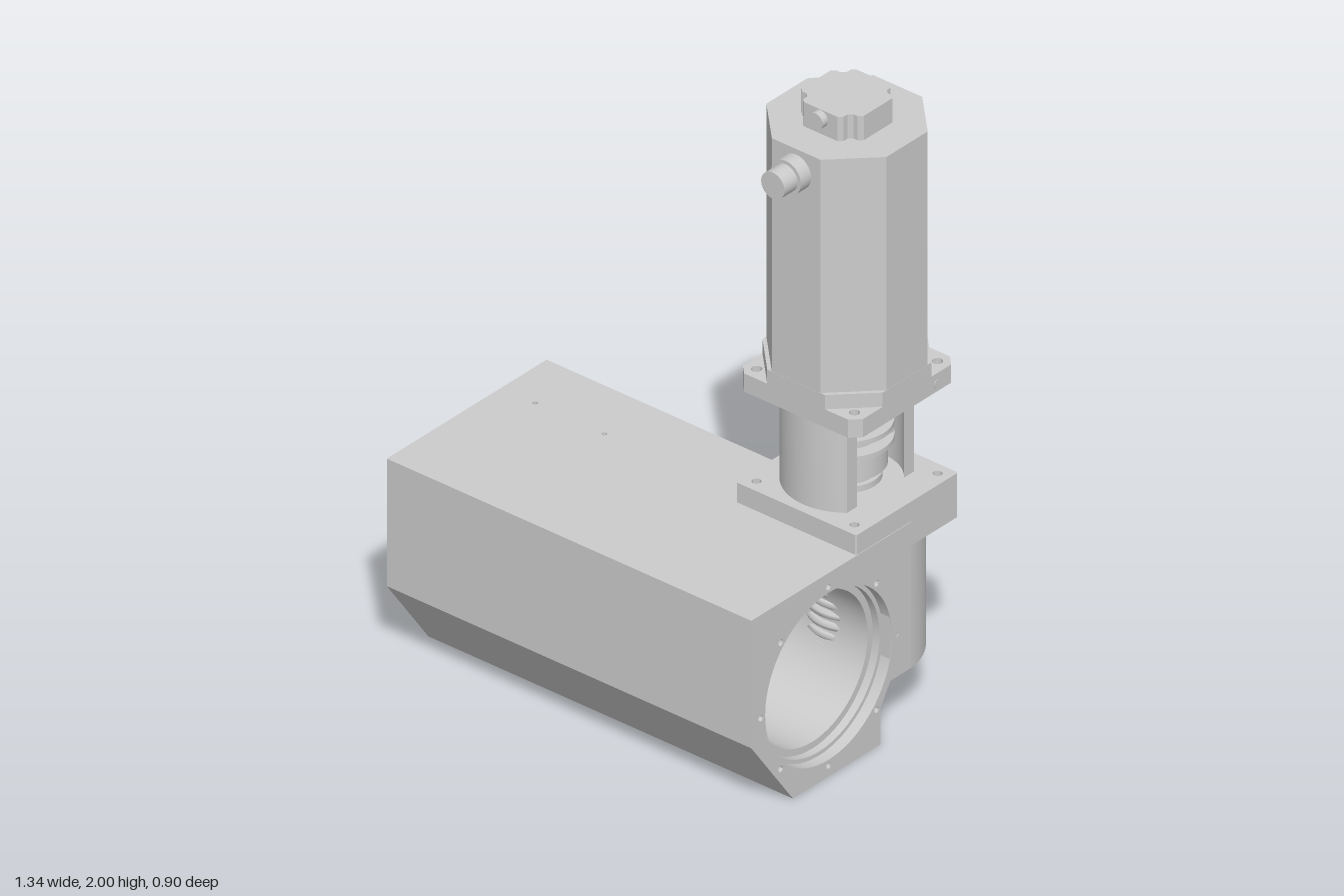
import * as THREE from 'three';
import { toCreasedNormals } from 'three/addons/utils/BufferGeometryUtils.js';

const mat = new THREE.MeshStandardMaterial({ color: 0xcccccc, side: THREE.DoubleSide });

function add(parent, name, geo) {
  const m = new THREE.Mesh(geo, mat);
  m.name = name;
  parent.add(m);
  return m;
}
const poly = (pts) => new THREE.Shape(pts.map(([x, y]) => new THREE.Vector2(x, y)));
function hole(shape, x, y, r) {
  shape.holes.push(new THREE.Path().absarc(x, y, r, 0, Math.PI * 2, true));
  return shape;
}
const extrude = (shape, depth) => toCreasedNormals(
  new THREE.ExtrudeGeometry(shape, { depth, bevelEnabled: false, curveSegments: 32 }), 0.5);
// Shape given as (x, -z), raised from y0 to y1
const raise = (shape, y0, y1) => extrude(shape, y1 - y0).rotateX(-Math.PI / 2).translate(0, y0, 0);
// Shape given as (-z, y), run from x0 to x1
const run = (shape, x0, x1) => extrude(shape, x1 - x0).rotateY(Math.PI / 2).translate(x0, 0, 0);
// Square of half size h with corners cut by c
const octagon = (h, c) => poly([[h, c - h], [h, h - c], [h - c, h], [c - h, h],
  [-h, h - c], [-h, c - h], [c - h, -h], [h - c, -h]]);
function cornerHoles(shape, d, r) {
  for (const x of [-d, d]) for (const y of [-d, d]) hole(shape, x, y, r);
  return shape;
}
const cyl = (r, y0, y1) => new THREE.CylinderGeometry(r, r, y1 - y0, 48).translate(0, (y0 + y1) / 2, 0);
const cylZ = (r, z0, z1, y) => new THREE.CylinderGeometry(r, r, z1 - z0, 32)
  .rotateX(Math.PI / 2).translate(0, y, (z0 + z1) / 2);

const BORE_Z = 0.115, BORE_Y = 0.33;

function buildHousing() {
  const g = new THREE.Group();
  g.name = 'gearHousing';
  const profile = () => poly([[-0.45, 0.25], [-0.27, 0], [0.11, 0], [0.11, 0.12],
    [0.16, 0.2], [0.22, 0.2], [0.22, 0.65], [-0.45, 0.65]]);

  // Slices along the bore: small outlet, main bore, counterbore with bolt circle
  const slices = [[-0.67, -0.59, 0.187], [-0.59, 0.61, 0.24], [0.61, 0.635, 0.262], [0.635, 0.67, 0.275]];
  slices.forEach(([x0, x1, r], i) => {
    const s = hole(profile(), -BORE_Z, BORE_Y, r);
    if (i === 3) {
      for (let k = 0; k < 8; k++) {
        const a = k * Math.PI / 4;
        hole(s, -BORE_Z + 0.294 * Math.cos(a), BORE_Y + 0.294 * Math.sin(a), 0.01);
      }
    }
    add(g, 'housingSlice', run(s, x0, x1));
  });

  // Top plate with two pin holes
  const top = poly([[-0.67, -0.45], [0.67, -0.45], [0.67, 0.243], [-0.67, 0.243]]);
  for (const x of [-0.545, -0.29]) hole(top, x, 0.045, 0.008);
  add(g, 'topPlate', raise(top, 0.65, 0.67));

  // Back plate with rounded window and six screw holes
  const back = poly([[-0.67, 0.2], [0.67, 0.2], [0.67, 0.65], [-0.67, 0.65]]);
  const [l, r, b, t, c] = [-0.5, 0.05, 0.275, 0.495, 0.03];
  const win = new THREE.Path();
  win.absarc(r - c, t - c, c, 0, Math.PI / 2);
  win.absarc(l + c, t - c, c, Math.PI / 2, Math.PI);
  win.absarc(l + c, b + c, c, Math.PI, Math.PI * 1.5);
  win.absarc(r - c, b + c, c, Math.PI * 1.5, Math.PI * 2);
  win.closePath();
  back.holes.push(win);
  for (const x of [-0.61, -0.225, 0.16]) for (const y of [0.24, 0.58]) hole(back, x, y, 0.02);
  add(g, 'backPlate', extrude(back, 0.023).translate(0, 0, -0.243));
  return g;
}

function buildWormDrive() {
  const g = new THREE.Group();
  g.name = 'wormDrive';
  // Round-backed worm casing with bearing opening beneath
  const d = new THREE.Shape();
  d.moveTo(0.221, -0.077);
  d.lineTo(0.221, 0);
  d.absarc(0, 0, 0.221, 0, Math.PI);
  d.lineTo(-0.221, -0.077);
  d.closePath();
  add(g, 'wormCasing', raise(hole(d, 0, 0, 0.065), 0.187, 0.59));
  add(g, 'bearingCap', cyl(0.064, 0.198, 0.23));
  add(g, 'bearingRing', new THREE.TorusGeometry(0.05, 0.008, 8, 32).rotateX(Math.PI / 2).translate(0, 0.196, 0));
  add(g, 'wormEnd', cyl(0.03, 0.19, 0.22));

  // Worm that meets the bore
  add(g, 'wormCore', cyl(0.106, 0.23, 0.46));
  const pts = [];
  for (let i = 0; i <= 120; i++) {
    const a = i / 120 * Math.PI * 12;
    pts.push(new THREE.Vector3(0.108 * Math.cos(a), 0.23 + 0.21 * i / 120, 0.108 * Math.sin(a)));
  }
  add(g, 'wormThread', new THREE.TubeGeometry(new THREE.CatmullRomCurve3(pts), 360, 0.014, 6));

  add(g, 'casingFlange', raise(cornerHoles(octagon(0.221, 0.004), 0.18, 0.014), 0.59, 0.735));
  return g;
}

function buildCoupling() {
  const g = new THREE.Group();
  g.name = 'coupling';
  // Tubular shell cut open on the left side
  const cut = 0.123, ro = 0.19, ri = 0.16;
  const a = Math.acos(cut / ro), b = Math.acos(cut / ri);
  const s = new THREE.Shape();
  s.absarc(0, 0, ro, a, Math.PI * 2 - a);
  s.absarc(0, 0, ri, Math.PI * 2 - b, b, true);
  s.closePath();
  add(g, 'couplingShell', raise(s, 0.735, 1.045));

  // Stacked hubs and discs on the shaft: [radius, y0, y1]
  const stack = [[0.05, 0.6, 1.05], [0.1, 0.745, 0.765], [0.085, 0.765, 0.785], [0.115, 0.79, 0.855],
    [0.133, 0.867, 0.883], [0.09, 0.855, 0.945], [0.133, 0.917, 0.933], [0.115, 0.945, 0.995],
    [0.085, 1.0, 1.02], [0.1, 1.02, 1.044]];
  for (const [r, y0, y1] of stack) add(g, 'couplingDisc', cyl(r, y0, y1));
  // Clamping bolts through the discs
  for (let k = 0; k < 4; k++) {
    const t = k * Math.PI / 2 + Math.PI / 4;
    add(g, 'couplingBolt', cyl(0.016, 0.84, 0.96).translate(0.115 * Math.cos(t), 0, 0.115 * Math.sin(t)));
  }
  return g;
}

function buildMotor() {
  const g = new THREE.Group();
  g.name = 'motor';
  add(g, 'motorFlange', raise(cornerHoles(octagon(0.221, 0.03), 0.18, 0.016), 1.045, 1.105));
  add(g, 'motorFlangeStep', raise(octagon(0.221, 0.115), 1.105, 1.152));
  add(g, 'motorBody', raise(octagon(0.2205, 0.131), 1.152, 1.92));

  // Encoder cap with scooped corners
  const h = 0.114, n = 0.04, cap = new THREE.Shape();
  for (let k = 0; k < 4; k++) {
    const c = Math.cos(k * Math.PI / 2), s = Math.sin(k * Math.PI / 2);
    const corner = [[h, h - n - 0.012], [h - 0.012, h - n], [h - n + 0.012, h - n],
      [h - n, h - n + 0.012], [h - n, h - 0.012], [h - n - 0.012, h]];
    corner.forEach(([x, y], i) => {
      const p = [x * c - y * s, x * s + y * c];
      if (k === 0 && i === 0) cap.moveTo(...p); else cap.lineTo(...p);
    });
  }
  cap.closePath();
  add(g, 'encoderCap', raise(cap, 1.92, 2));
  add(g, 'encoderPlug', cylZ(0.026, 0.1, 0.137, 1.972));

  // Power connector on the front
  add(g, 'connectorCollar', cylZ(0.055, 0.21, 0.265, 1.847));
  add(g, 'connectorTip', cylZ(0.043, 0.265, 0.322, 1.847));
  // Set screw on the left of the flange
  add(g, 'flangeScrew', cylZ(0.014, 0, 0.01, 0).rotateY(Math.PI / 2).translate(0.213, 1.07, -0.13));
  return g;
}

export function createModel() {
  const model = new THREE.Group();
  model.name = 'wormGearMotorUnit';
  model.add(buildHousing());
  const drive = new THREE.Group();
  drive.name = 'driveColumn';
  drive.position.set(0.447, 0, -0.228);
  drive.add(buildWormDrive(), buildCoupling(), buildMotor());
  model.add(drive);
  return model;
}
